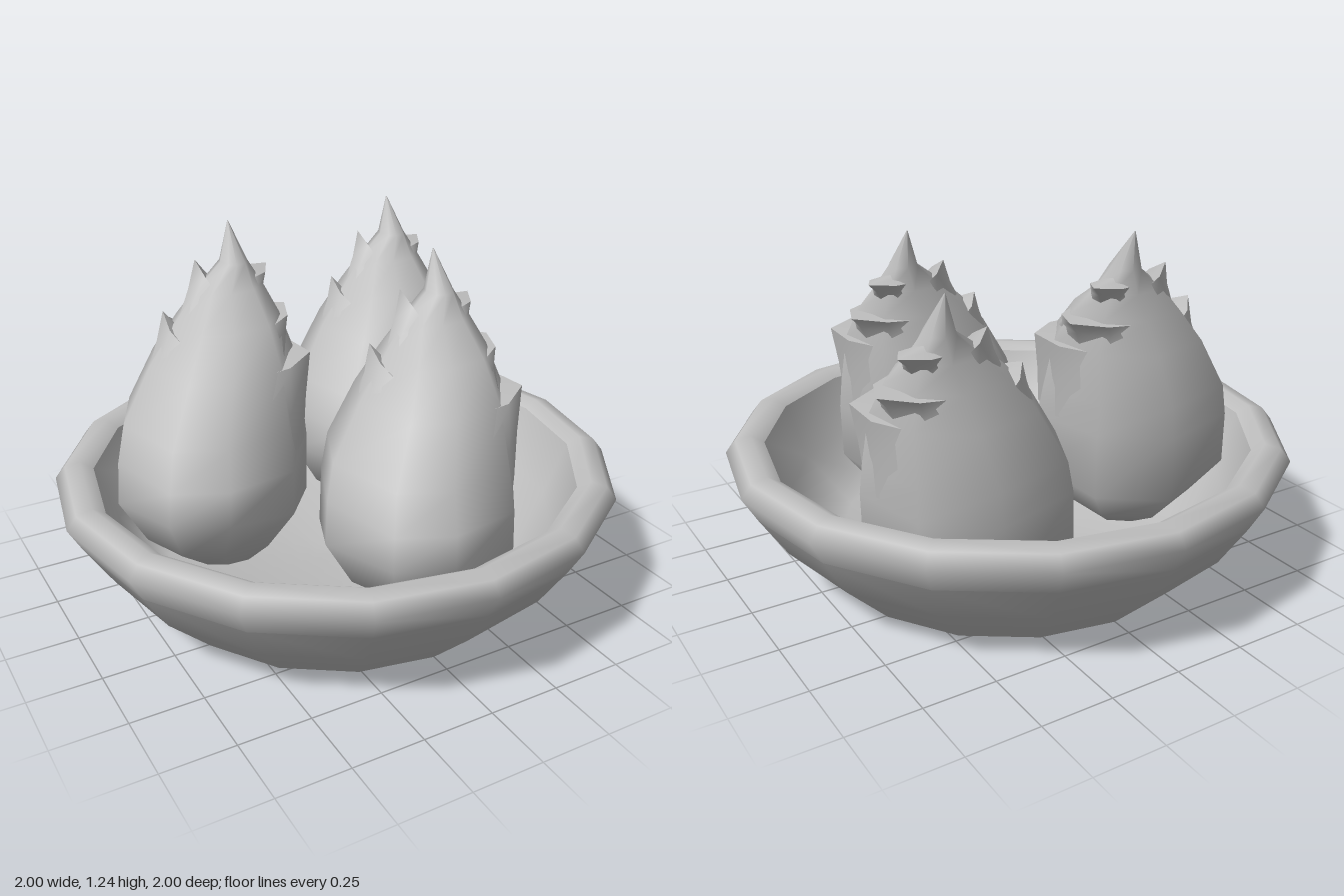
import * as THREE from 'three';

// Shoot cross-sections: y, x min, x max, z min, z max, tilt of the ring
const RINGS = [
  [0.06, 0.0, 0.24, 0.28, 0.54, 0.2],
  [0.15, -0.15, 0.34, 0.16, 0.65, 0.2],
  [0.3, -0.24, 0.45, 0.03, 0.76, 0.2],
  [0.48, -0.22, 0.465, 0.01, 0.73, 0],
  [0.6, -0.18, 0.47, 0.0, 0.67, 0],
  [0.78, -0.06, 0.465, 0.03, 0.56, 0],
  [0.9, 0.06, 0.445, 0.055, 0.42, 0],
  [0.99, 0.17, 0.42, 0.075, 0.27, 0],
  [1.07, 0.28, 0.38, 0.08, 0.2, 0],
  [1.2, 0.338, 0.342, 0.078, 0.082, 0],
];

// Uneven eight-sided outline: angle in degrees from +z towards +x, radius factor
const OUTLINE = [[-46, 1.1], [-15, 1.03], [28, 1], [79, 1.01], [125, 0.99], [168, 1.02], [222, 1.02], [265, 1]];

// Sheath leaves: angle, half width, lower y, tip y, stand-out of the tip, edge drop, dip behind the tip
const LEAVES = [
  [63, 58, 0.5, 0.79, 0.055, 0.04, 0],
  [103, 58, 0.8, 0.895, 0.07, 0.1, 0],
  [110, 60, 0.95, 1.03, 0.09, 0.2, -0.02],
  [-107, 52, 0.9, 1.08, 0.09, 0.45, 0.08],
  [-108, 42, 0.76, 0.93, 0.06, 0.45, 0.05],
];

// Point on the shoot's skin at a height and angle, moved outwards
function skinPoint(y, degrees, out) {
  const i = Math.min(RINGS.length - 2, RINGS.findIndex((r) => r[0] >= y) - 1);
  const low = RINGS[i];
  const high = RINGS[i + 1];
  const t = (y - low[0]) / (high[0] - low[0]);
  const [x0, x1, z0, z1] = [1, 2, 3, 4].map((k) => low[k] + (high[k] - low[k]) * t);
  const a = THREE.MathUtils.degToRad(degrees);
  return [(x0 + x1) / 2 + Math.sin(a) * ((x1 - x0) / 2 + out), y,
    (z0 + z1) / 2 + Math.cos(a) * ((z1 - z0) / 2 + out)];
}

function buildGeometry(pos, index) {
  const g = new THREE.BufferGeometry();
  g.setAttribute('position', new THREE.Float32BufferAttribute(pos, 3));
  g.setIndex(index);
  g.computeVertexNormals();
  return g;
}

// Leaning body lofted through the rings; the lower rings tilt with the lean
function shootBodyGeometry() {
  const n = OUTLINE.length;
  const pos = [];
  const index = [];
  for (const [y, x0, x1, z0, z1, tilt] of RINGS) {
    for (const [degrees, f] of OUTLINE) {
      const a = THREE.MathUtils.degToRad(degrees);
      const dx = Math.sin(a) * f * (x1 - x0) / 2;
      const dz = Math.cos(a) * f * (z1 - z0) / 2;
      pos.push((x0 + x1) / 2 + dx, y + tilt * (dz * 0.8 - dx * 0.6), (z0 + z1) / 2 + dz);
    }
  }
  for (let i = 0; i < RINGS.length - 1; i++) {
    for (let j = 0; j < n; j++) {
      const a = i * n + j;
      const b = i * n + (j + 1) % n;
      index.push(a, b, b + n, a, b + n, a + n);
    }
  }
  // Bottom and tip caps
  const top = (RINGS.length - 1) * n;
  for (let j = 1; j < n - 1; j++) index.push(0, j + 1, j, top, top + j, top + j + 1);
  return buildGeometry(pos, index);
}

// Leaf rising out of the skin to a point, closed by a shelf back into the body
function leafGeometry([angle, halfWidth, y0, yTip, out, drop, dip]) {
  const pos = [];
  const index = [];
  const columns = 4;
  const sink = -0.02;
  // Rows: height fraction, stand-out fraction, dip; the rim is doubled for a sharp edge
  const rows = [[0, 0, 0], [0.5, 0.4, 0], [1, 1, 0], [1, 1, 0], [1, -0.2, dip]];
  for (const [v, s, d] of rows) {
    for (let c = 0; c <= columns; c++) {
      const u = (c / columns) * 2 - 1;
      const side = Math.abs(u);
      const y = y0 + v * (yTip - y0) * (1 - drop * side) - d * (1 - side);
      pos.push(...skinPoint(y, angle + u * halfWidth, sink + (out - sink) * s * (1 - side)));
    }
  }
  const w = columns + 1;
  for (const r of [0, 1, 3]) {
    for (let c = 0; c < columns; c++) {
      const a = r * w + c;
      index.push(a, a + 1, a + 1 + w, a, a + 1 + w, a + w);
    }
  }
  return buildGeometry(pos, index);
}

export function createModel() {
  const model = new THREE.Group();
  model.name = 'bowlOfShoots';
  const grey = new THREE.MeshStandardMaterial({ color: 0xc0c0c0 });
  grey.name = 'lightGrey';

  const add = (parent, geometry, name) => {
    const mesh = new THREE.Mesh(geometry, grey);
    mesh.name = name;
    parent.add(mesh);
    return mesh;
  };
  const lathe = (profile) =>
    new THREE.LatheGeometry(profile.map(([r, y]) => new THREE.Vector2(r, y)), 16);

  // Bowl: outer wall, rolled rim, inside, and flat foot
  const bowl = new THREE.Group();
  bowl.name = 'bowl';
  model.add(bowl);
  add(bowl, lathe([[0.675, 0], [0.855, 0.18], [0.95, 0.33]]), 'bowlOuterWall');
  add(bowl, lathe([[0.95, 0.33], [1, 0.42], [0.965, 0.465], [0.91, 0.478], [0.865, 0.45]]), 'bowlRim');
  add(bowl, lathe([[0.865, 0.45], [0.79, 0.25], [0.62, 0.07], [0, 0.04]]), 'bowlInside');
  const foot = add(bowl, new THREE.CircleGeometry(0.675, 16), 'bowlBase');
  foot.rotation.x = Math.PI / 2;

  // Three matching shoots
  const body = shootBodyGeometry();
  const leaves = LEAVES.map(leafGeometry);
  const places = [[0, 0, 0], [-0.53, 0.04, -0.535], [0.245, 0, -0.71]];
  places.forEach((place, i) => {
    const shoot = new THREE.Group();
    shoot.name = `shoot${i + 1}`;
    shoot.position.set(...place);
    add(shoot, body, 'shootBody');
    leaves.forEach((leaf, k) => add(shoot, leaf, `sheathLeaf${k + 1}`));
    model.add(shoot);
  });

  return model;
}
